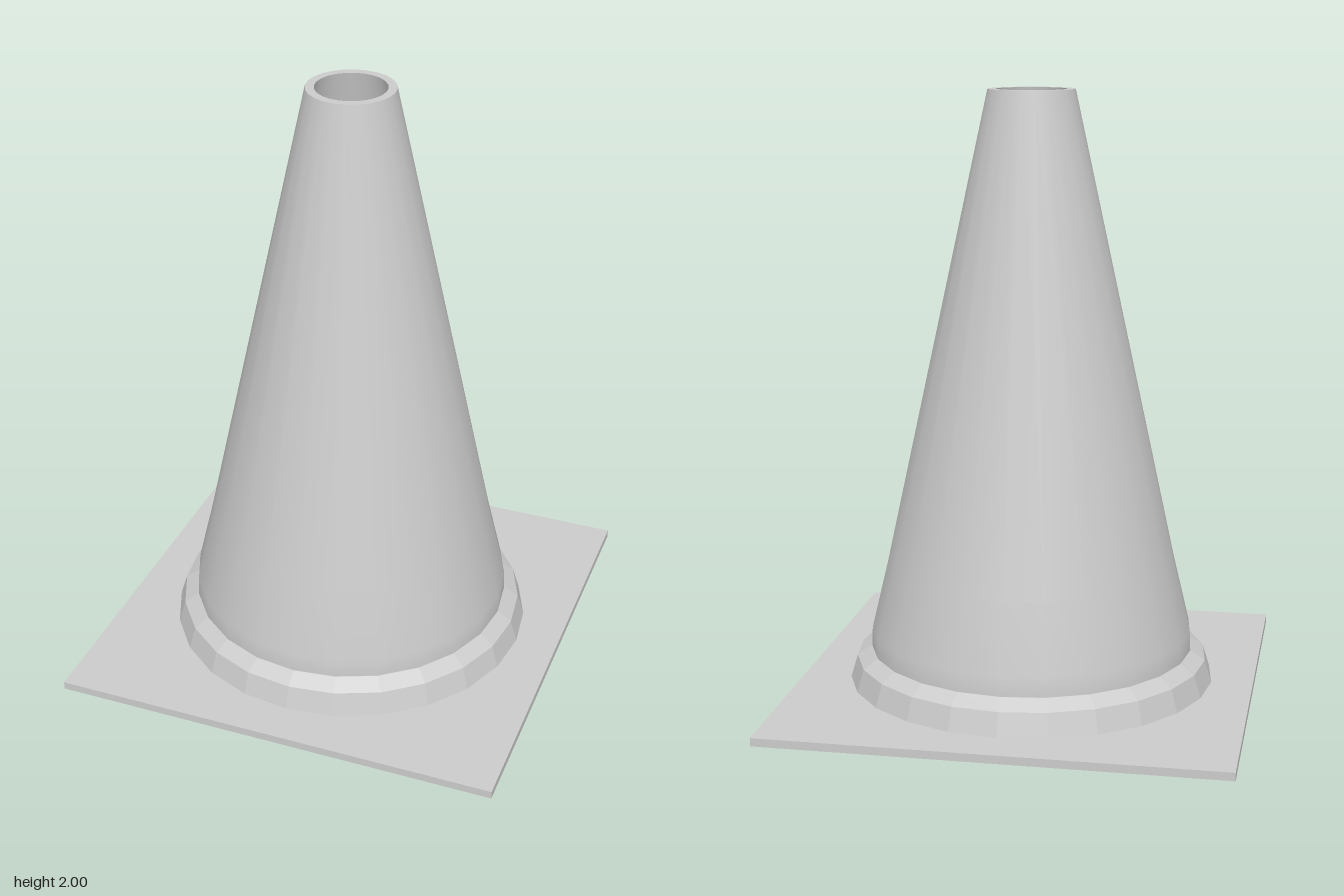
import * as THREE from 'three';

const SIDES = 24;

function addMesh(group, name, geometry, flatShading = false) {
  const material = new THREE.MeshStandardMaterial({ color: 0xcccccc, flatShading });
  const mesh = new THREE.Mesh(geometry, material);
  mesh.name = name;
  group.add(mesh);
  return mesh;
}

// Revolve a profile of [radius, height] pairs around the y axis
const revolve = (profile) =>
  new THREE.LatheGeometry(profile.map(([r, y]) => new THREE.Vector2(r, y)), SIDES);

export function createModel() {
  const group = new THREE.Group();
  group.name = 'trafficCone';

  // Thin square foot
  const base = addMesh(group, 'basePlate', new THREE.BoxGeometry(1.51, 0.027, 1.51));
  base.position.y = 0.0135;

  // Faceted collar around the foot of the cone
  addMesh(group, 'collar', revolve([[0.615, 0.027], [0.592, 0.103], [0.545, 0.135], [0.535, 0.135]]), true);

  // Smooth outer wall, slightly flared near the bottom
  addMesh(group, 'coneWall', revolve([[0.543, 0.135], [0.54, 0.2], [0.485, 0.43], [0.143, 2]]));

  // Flat rim and hollow inside, separate so the edges stay sharp
  addMesh(group, 'topRim', revolve([[0.143, 2], [0.115, 2]]));
  addMesh(group, 'innerWall', revolve([[0.115, 2], [0.457, 0.43], [0.512, 0.2], [0.515, 0.027]]));

  return group;
}
